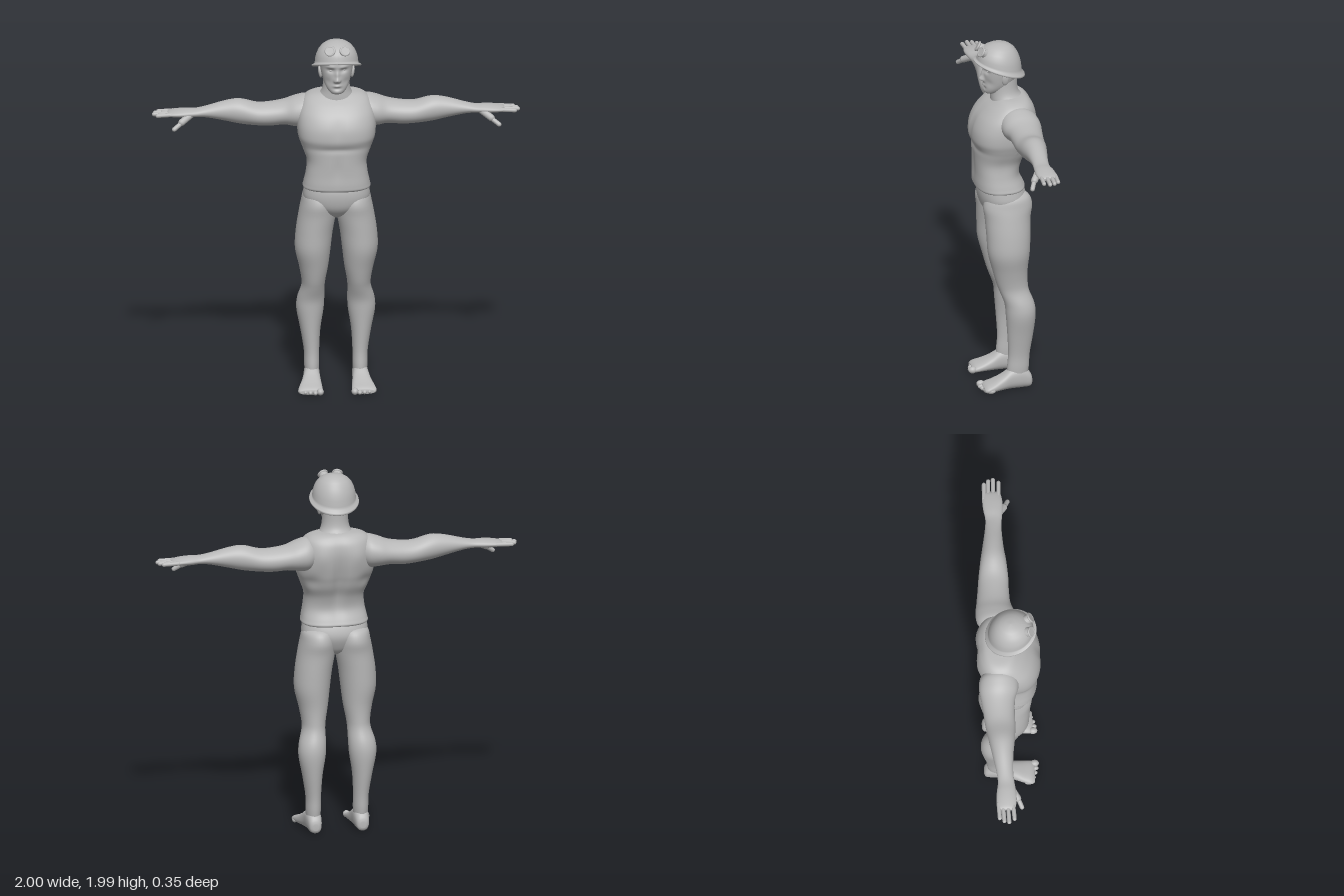
import * as THREE from 'three';

const skin = new THREE.MeshStandardMaterial({ color: 0xb8b8b8 });
skin.name = 'plain grey';

// Smoothly lofts rows [t, centre u, half-width u, max v, min v] of superellipse rings
function loft(rows, place, { seg = 40, sub = 4, power = 2, warp } = {}) {
  const rings = (rows.length - 1) * sub;
  const spline = (a, b, c, d, f) => b + 0.5 * f * (c - a + f * (2 * a - 5 * b + 4 * c - d + f * (3 * (b - c) + d - a)));
  const row = (i) => rows[Math.max(0, Math.min(rows.length - 1, i))];
  const pos = [], index = [];
  const push = (t, u, v) => {
    const p = new THREE.Vector3(...place(t, u, v));
    if (warp) warp(p);
    pos.push(p.x, p.y, p.z);
  };
  const ends = [];
  for (let r = 0; r <= rings; r++) {
    const i = Math.min(Math.floor(r / sub), rows.length - 2), f = r / sub - i;
    const [t, u, ru, hi, lo] = row(i).map((_, k) => spline(row(i - 1)[k], row(i)[k], row(i + 1)[k], row(i + 2)[k], f));
    for (let s = 0; s < seg; s++) {
      const a = (s / seg) * Math.PI * 2, c = Math.cos(a), d = Math.sin(a);
      const e = 2 / power;
      push(t, u + ru * Math.sign(c) * Math.abs(c) ** e, (hi + lo) / 2 + ((hi - lo) / 2) * Math.sign(d) * Math.abs(d) ** e);
    }
    if (r === 0 || r === rings) ends.push([t, u, (hi + lo) / 2]);
  }
  ends.forEach((e) => push(...e));
  const first = (rings + 1) * seg;
  for (let s = 0; s < seg; s++) {
    const n = (s + 1) % seg;
    for (let r = 0; r < rings; r++) {
      const a = r * seg + s, b = r * seg + n;
      index.push(a, b, a + seg, b, b + seg, a + seg);
    }
    index.push(first, n, s, first + 1, rings * seg + s, rings * seg + n);
  }
  // Turn the faces outward whatever the axis mapping or mirroring
  const at = (i) => new THREE.Vector3().fromArray(pos, i * 3);
  let volume = 0;
  for (let i = 0; i < index.length; i += 3) volume += at(index[i]).dot(at(index[i + 1]).cross(at(index[i + 2])));
  if (volume < 0) index.reverse();
  const g = new THREE.BufferGeometry();
  g.setAttribute('position', new THREE.Float32BufferAttribute(pos, 3));
  g.setIndex(index);
  g.computeVertexNormals();
  return g;
}

// Soft bump weight around a point in the x-y plane
const bump = (p, x, y, rx, ry) => Math.exp(-(((p.x - x) / rx) ** 2) - ((p.y - y) / ry) ** 2);
const upright = (t, u, v) => [u, t, v];

export function createModel() {
  const model = new THREE.Group();
  const add = (name, geometry, parent = model) => {
    const m = new THREE.Mesh(geometry, skin);
    m.name = name;
    parent.add(m);
    return m;
  };
  const ball = (name, x, y, z, sx, sy, sz) => {
    const m = add(name, new THREE.SphereGeometry(1, 20, 14));
    m.position.set(x, y, z);
    m.scale.set(sx, sy, sz);
    return m;
  };
  // Rounded digit between two points
  const digit = (name, a, b, r) => {
    const from = new THREE.Vector3(...a), to = new THREE.Vector3(...b), dir = to.clone().sub(from);
    const m = add(name, new THREE.CapsuleGeometry(r, Math.max(0.001, dir.length() - 2 * r), 5, 12));
    m.position.copy(from).add(to).multiplyScalar(0.5);
    m.quaternion.setFromUnitVectors(new THREE.Vector3(0, 1, 0), dir.normalize());
  };

  // Torso with chest, waist hem, spine furrow and shoulder blades
  add('torso', loft([
    [1.15, 0, 0.14, 0.1, -0.08], [1.163, 0, 0.181, 0.149, -0.115], [1.19, 0, 0.18, 0.157, -0.108],
    [1.25, 0, 0.168, 0.156, -0.085], [1.32, 0, 0.163, 0.158, -0.1], [1.38, 0, 0.183, 0.16, -0.13],
    [1.42, 0, 0.198, 0.167, -0.145], [1.46, 0, 0.21, 0.176, -0.158], [1.52, 0, 0.214, 0.17, -0.17],
    [1.58, 0, 0.208, 0.143, -0.174], [1.63, 0, 0.19, 0.1, -0.166], [1.662, 0, 0.168, 0.06, -0.148],
    [1.682, 0, 0.125, 0.03, -0.125], [1.69, 0, 0.05, 0, -0.09]], upright, {
    seg: 72, sub: 5, power: 2.5, warp: (p) => {
      if (p.z > 0.03) {
        p.z -= 0.008 * bump(p, 0, 1.52, 0.02, 0.07) + 0.008 * bump(p, 0, 1.405, 0.15, 0.018) + 0.006 * bump(p, 0, 1.29, 0.02, 0.07);
      } else if (p.z < -0.04) {
        p.z += 0.025 * bump(p, 0, 1.42, 0.03, 0.16);
        for (const s of [-1, 1]) p.z += 0.012 * bump(p, s * 0.15, 1.42, 0.04, 0.04) - 0.006 * bump(p, s * 0.1, 1.56, 0.04, 0.06);
      }
    } }));

  // Pelvis joining waist and legs
  add('pelvis', loft([
    [0.985, 0, 0.03, 0.04, -0.04], [1.01, 0, 0.08, 0.085, -0.085], [1.05, 0, 0.15, 0.118, -0.11],
    [1.1, 0, 0.18, 0.132, -0.125], [1.15, 0, 0.178, 0.133, -0.115], [1.2, 0, 0.168, 0.12, -0.09]], upright, { seg: 48, power: 2.3 }));

  // Neck
  add('neck', loft([
    [1.62, 0, 0.12, 0.06, -0.14], [1.665, 0, 0.1, 0.062, -0.125], [1.7, 0, 0.08, 0.062, -0.095],
    [1.74, 0, 0.072, 0.062, -0.085], [1.8, 0, 0.07, 0.06, -0.085]], upright));

  // Head with brow, eye sockets, nose, lips and chin
  add('head', loft([
    [1.7, 0, 0.02, 0.08, 0.04], [1.708, 0, 0.036, 0.094, 0.02], [1.73, 0, 0.055, 0.1, -0.02],
    [1.76, 0, 0.07, 0.1, -0.06], [1.8, 0, 0.081, 0.102, -0.085], [1.84, 0, 0.088, 0.104, -0.1],
    [1.89, 0, 0.09, 0.106, -0.1], [1.94, 0, 0.07, 0.08, -0.07], [1.955, 0, 0.03, 0.04, -0.03]], upright, {
    seg: 112, sub: 8, power: 2.15, warp: (p) => {
      if (p.z < 0.04) return;
      p.z += 0.022 * bump(p, 0, 1.788, 0.014, 0.014) + 0.013 * bump(p, 0, 1.815, 0.011, 0.025)
        + 0.008 * bump(p, 0, 1.753, 0.02, 0.007) - 0.005 * bump(p, 0, 1.737, 0.025, 0.008) + 0.004 * bump(p, 0, 1.718, 0.02, 0.01);
      for (const s of [-1, 1]) {
        p.z += 0.007 * bump(p, s * 0.035, 1.862, 0.025, 0.008) - 0.012 * bump(p, s * 0.035, 1.84, 0.019, 0.012)
          + 0.009 * bump(p, s * 0.012, 1.782, 0.007, 0.008) - 0.005 * bump(p, s * 0.05, 1.775, 0.018, 0.02);
      }
    } }));

  // Helmet: a dome with a flared rim that slopes down to the back
  const profile = [[0.6, 0.3], [0.84, 0.04], [0.98, 0], [1.01, 0.03], [1, 0.07], [0.9, 0.12], [0.88, 0.2], [0.86, 0.36], [0.81, 0.52],
    [0.72, 0.69], [0.59, 0.83], [0.42, 0.93], [0.22, 0.985], [0, 1]].map((q) => new THREE.Vector2(...q));
  const shell = new THREE.LatheGeometry(profile, 56);
  const sp = shell.attributes.position;
  for (let i = 0; i < sp.count; i++) {
    const z = 0.014 + sp.getZ(i) * 0.139, rim = 1.842 + 0.36 * (z - 0.014);
    sp.setXYZ(i, sp.getX(i) * 0.134, rim + sp.getY(i) * (1.99 - rim), z);
  }
  shell.computeVertexNormals();
  add('helmet', shell).material.side = THREE.DoubleSide;

  for (const s of [-1, 1]) {
    const side = s > 0 ? 'left' : 'right';

    // Goggle cup on the helmet
    const goggle = new THREE.Group();
    goggle.name = side + 'Goggle';
    goggle.position.set(s * 0.036, 1.953, 0.108);
    goggle.rotation.set(-0.55, s * 0.25, 0);
    add('goggleCup', new THREE.CylinderGeometry(0.024, 0.027, 0.045, 24).rotateX(Math.PI / 2), goggle);
    add('goggleRing', new THREE.TorusGeometry(0.024, 0.006, 10, 24).translate(0, 0, 0.018), goggle);
    model.add(goggle);

    // Eye and ear
    ball(side + 'Eye', s * 0.034, 1.839, 0.079, 0.012, 0.007, 0.011);
    ball(side + 'Ear', s * 0.089, 1.805, 0.0, 0.01, 0.034, 0.02).rotation.z = -s * 0.15;

    // Arm, from deltoid to palm
    add(side + 'Arm', loft([
      [0.11, 1.575, 0.05, 0, -0.12], [0.16, 1.572, 0.09, 0.045, -0.16], [0.22, 1.567, 0.084, 0.045, -0.168],
      [0.28, 1.56, 0.069, 0.025, -0.16], [0.36, 1.551, 0.065, 0.02, -0.15], [0.43, 1.553, 0.063, 0.02, -0.142],
      [0.52, 1.57, 0.069, 0.013, -0.128], [0.6, 1.575, 0.056, 0.002, -0.113], [0.7, 1.573, 0.032, -0.004, -0.095],
      [0.76, 1.57, 0.023, 0, -0.09], [0.81, 1.569, 0.024, 0.006, -0.098], [0.86, 1.568, 0.021, 0.008, -0.102],
      [0.905, 1.566, 0.015, 0, -0.1], [0.92, 1.565, 0.006, -0.01, -0.09]], (t, u, v) => [s * t, u, v]));

    // Four fingers and a thumb
    [[0.975, -0.092, -0.088], [0.993, -0.069, -0.064], [1, -0.042, -0.038], [0.982, -0.014, -0.008]].forEach(([tip, z, zt], i) =>
      digit(side + 'Finger' + (i + 1), [s * 0.87, 1.568, z], [s * tip, 1.564, zt], 0.0115));
    digit(side + 'ThumbBase', [s * 0.775, 1.572, -0.03], [s * 0.855, 1.523, 0.024], 0.019);
    digit(side + 'Thumb', [s * 0.825, 1.54, 0.008], [s * 0.892, 1.493, 0.04], 0.0125);

    // Leg, from buttock to ankle
    add(side + 'Leg', loft([
      [1.15, 0.09, 0.04, 0.05, -0.07], [1.125, 0.094, 0.083, 0.1, -0.125], [1.07, 0.097, 0.095, 0.124, -0.146],
      [1, 0.104, 0.102, 0.117, -0.135], [0.9, 0.12, 0.101, 0.111, -0.13], [0.8, 0.128, 0.097, 0.105, -0.125],
      [0.7, 0.123, 0.08, 0.08, -0.115], [0.62, 0.123, 0.066, 0.058, -0.115], [0.57, 0.126, 0.064, 0.04, -0.122],
      [0.5, 0.136, 0.074, 0.015, -0.148], [0.43, 0.14, 0.074, 0.008, -0.155], [0.32, 0.138, 0.055, 0, -0.143],
      [0.2, 0.132, 0.042, -0.006, -0.125], [0.12, 0.131, 0.041, 0, -0.12], [0.05, 0.131, 0.036, 0, -0.11]],
    (t, u, v) => [s * u, t, v]));

    // Foot with ankle, arch and toes
    add(side + 'Foot', loft([
      [-0.137, 0.131, 0.015, 0.055, 0.02], [-0.125, 0.131, 0.033, 0.085, 0.003], [-0.08, 0.131, 0.042, 0.12, 0],
      [-0.02, 0.133, 0.045, 0.115, 0], [0.03, 0.137, 0.053, 0.083, 0], [0.08, 0.143, 0.063, 0.058, 0],
      [0.12, 0.146, 0.067, 0.043, 0], [0.138, 0.146, 0.055, 0.03, 0.006]],
    (t, u, v) => [s * u, v, t], { power: 2.4 }));
    for (let i = 0; i < 5; i++) {
      const r = i ? 0.0135 : 0.019;
      ball(side + 'Toe' + (i + 1), s * (0.094 + i * 0.0265), r + 0.003, 0.139 - 0.0022 * i * i, r, r, 0.024);
    }
  }
  return model;
}
